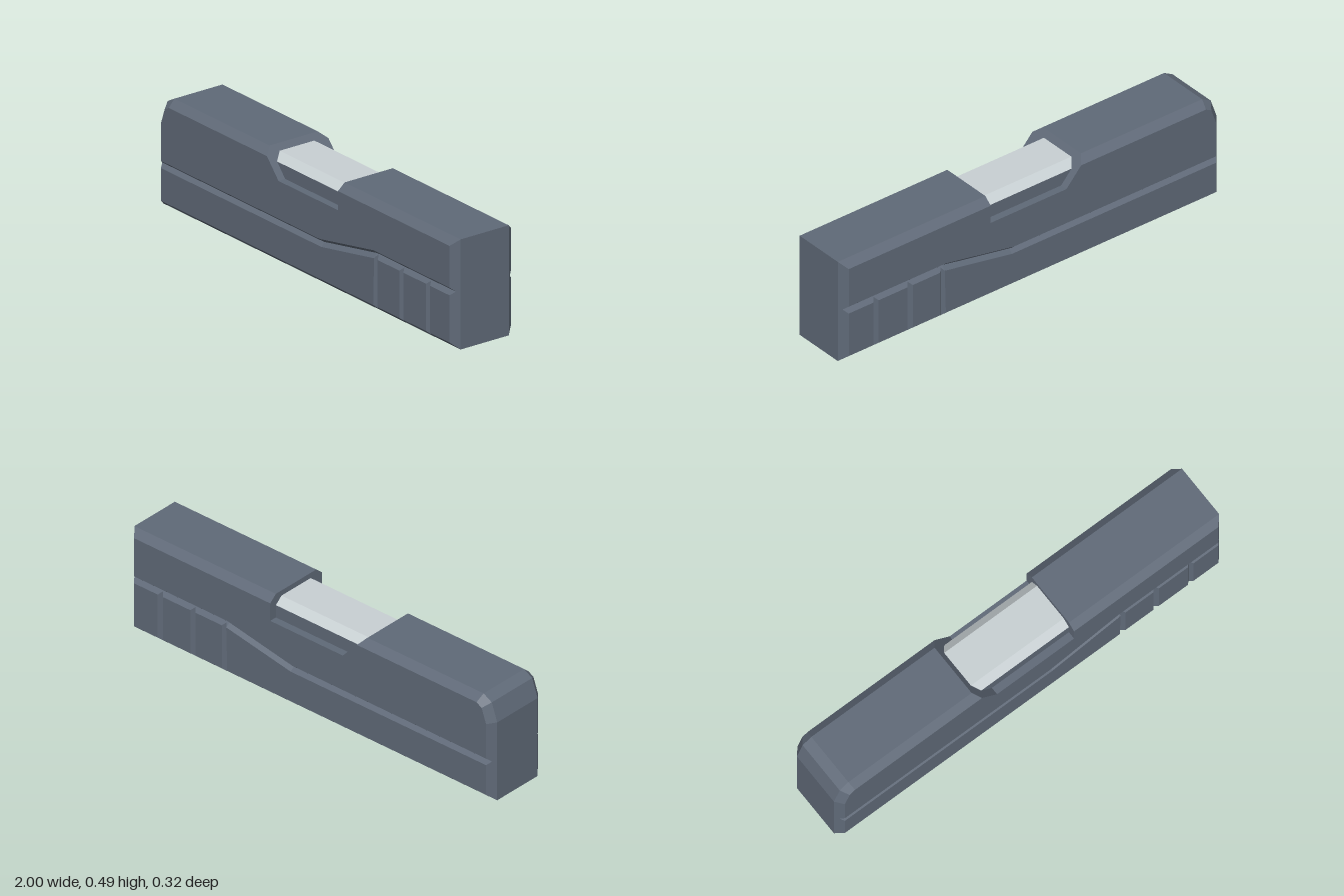
import * as THREE from 'three';

const BEVEL = 0.03;      // bevel measured in the outline plane
const FLAT_Z = 0.125;    // half depth of the unbevelled core
const FULL_Z = 0.16;     // half depth of the side faces

// Moves every edge of a counter-clockwise outline inwards; edges listed in sharp stay put.
function inset(points, sharp) {
  const n = points.length;
  const lines = points.map((p, i) => {
    const d = points[(i + 1) % n].clone().sub(p).normalize();
    const normal = new THREE.Vector2(-d.y, d.x);
    return { normal, c: normal.dot(p) + (sharp.includes(i) ? 0 : BEVEL) };
  });
  return points.map((_, i) => {
    const a = lines[(i + n - 1) % n], b = lines[i];
    const det = a.normal.cross(b.normal);
    return new THREE.Vector2(
      (a.c * b.normal.y - b.c * a.normal.y) / det,
      (b.c * a.normal.x - a.c * b.normal.x) / det);
  });
}

// Slab with chamfered rims on both sides, built from four outline layers.
function bevelledSlab(outline, sharp = []) {
  const outer = outline.map(([x, y]) => new THREE.Vector2(x, y));
  const inner = inset(outer, sharp);
  const layers = [[inner, FULL_Z], [outer, FLAT_Z], [outer, -FLAT_Z], [inner, -FULL_Z]];
  const n = outer.length, pos = [];
  const put = (layer, i) => pos.push(layer[0][i].x, layer[0][i].y, layer[1]);
  for (let k = 0; k < 3; k++) {
    const a = layers[k], b = layers[k + 1];
    for (let i = 0; i < n; i++) {
      const j = (i + 1) % n;
      put(a, i); put(b, i); put(b, j);
      put(a, i); put(b, j); put(a, j);
    }
  }
  for (const [a, b, c] of THREE.ShapeUtils.triangulateShape(inner, [])) {
    put(layers[0], a); put(layers[0], b); put(layers[0], c);
    put(layers[3], a); put(layers[3], c); put(layers[3], b);
  }
  const g = new THREE.BufferGeometry();
  g.setAttribute('position', new THREE.Float32BufferAttribute(pos, 3));
  g.computeVertexNormals();
  return g;
}

export function createModel() {
  const group = new THREE.Group();
  const bodyGrey = new THREE.MeshStandardMaterial({ color: 0x5f6977 });
  bodyGrey.name = 'slate grey';
  const paleSteel = new THREE.MeshStandardMaterial({ color: 0xc8d0d3 });
  paleSteel.name = 'pale steel';

  const add = (name, geometry, material) => {
    const mesh = new THREE.Mesh(geometry, material);
    mesh.name = name;
    group.add(mesh);
    return mesh;
  };

  // Upper body: the three notch edges (6, 7, 8 counted from the first point) are left unbevelled
  add('upperBody', bevelledSlab([
    [-1, 0.177], [0.1, 0.177], [0.46, 0.244], [1, 0.244],
    [1, 0.49], [0.22, 0.49], [0.22, 0.375], [-0.18, 0.375], [-0.285, 0.49],
    [-0.925, 0.49], [-0.97, 0.465], [-1, 0.38],
  ], [5, 6, 7]), bodyGrey);

  // Lower body: its rims overlap the neighbours, leaving V grooves between the parts
  add('lowerBody', bevelledSlab([
    [-1, 0], [0.487, 0], [0.487, 0.27], [0.46, 0.27], [0.105, 0.205], [-1, 0.205],
  ]), bodyGrey);

  // Three grip blocks at the end
  [[0.457, 0.662], [0.63, 0.842], [0.81, 1]].forEach(([x0, x1], i) => {
    add(`gripBlock${i + 1}`, bevelledSlab([[x0, 0], [x1, 0], [x1, 0.27], [x0, 0.27]]), bodyGrey);
  });

  // Raised step in the notch that carries the insert
  const step = add('notchStep', new THREE.BoxGeometry(0.54, 0.135, 2 * FLAT_Z), bodyGrey);
  step.position.set(-0.03, 0.3675, 0);

  // Pale insert with sloping sides, its ends buried in the body
  const section = new THREE.Shape([
    [-FLAT_Z, 0.435], [FLAT_Z, 0.435], [0.09, 0.465], [-0.09, 0.465],
  ].map(([z, y]) => new THREE.Vector2(z, y)));
  const insert = new THREE.ExtrudeGeometry(section, { depth: 0.54, bevelEnabled: false });
  insert.rotateY(Math.PI / 2).translate(-0.3, 0, 0);
  add('notchInsert', insert, paleSteel);

  return group;
}
